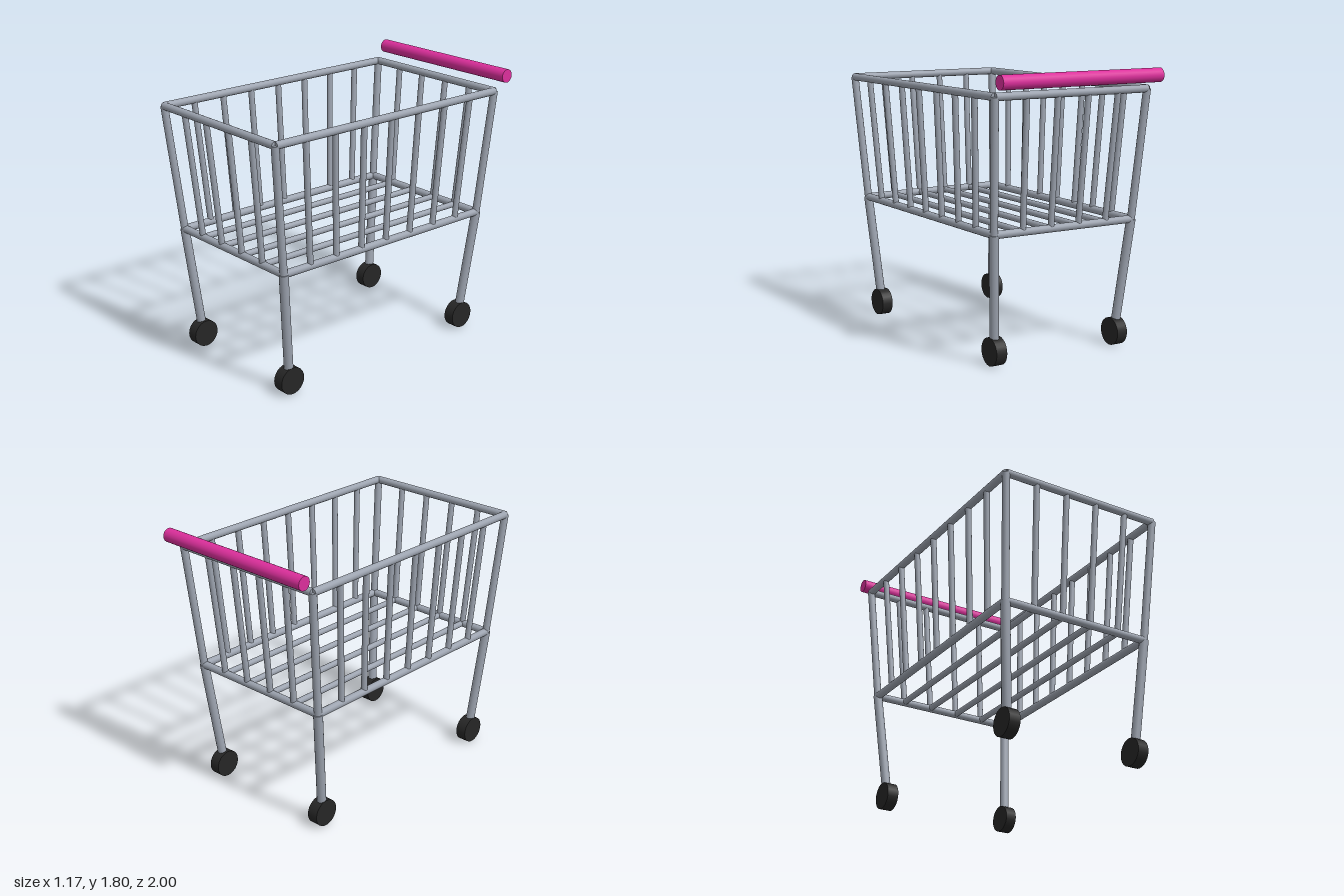
import * as THREE from 'three';

export function createModel() {
  const cart = new THREE.Group();
  cart.name = 'shoppingCart';

  const material = (name, color) => {
    const m = new THREE.MeshStandardMaterial({ color });
    m.name = name;
    return m;
  };
  const steel = material('steel grey', 0x9ca3af);
  const rubber = material('wheel black', 0x262626);
  const pink = material('handle pink', 0xdb2f9b);

  // Straight round bar between two points
  const up = new THREE.Vector3(0, 1, 0);
  function bar(name, a, b, radius, mat = steel, sides = 16) {
    const dir = b.clone().sub(a);
    const mesh = new THREE.Mesh(new THREE.CylinderGeometry(radius, radius, dir.length(), sides), mat);
    mesh.name = name;
    mesh.position.copy(a).add(b).multiplyScalar(0.5);
    mesh.quaternion.setFromUnitVectors(up, dir.normalize());
    cart.add(mesh);
  }

  // Basket corners, in order round the frame
  const corners = (x, y, front, back) => [[x, front], [x, back], [-x, back], [-x, front]]
    .map(([cx, cz]) => new THREE.Vector3(cx, y, cz));
  const top = corners(0.56, 1.67, 0.972, -0.862);
  const bottom = corners(0.514, 0.835, 0.886, -0.78);
  const feet = corners(0.458, 0.09, 0.81, -0.693);

  for (let i = 0; i < 4; i++) {
    const j = (i + 1) % 4;
    bar('topRail', top[i], top[j], 0.025);
    bar('bottomRail', bottom[i], bottom[j], 0.025);
    bar('cornerPost', bottom[i], top[i], 0.025);
    bar('leg', feet[i], bottom[i], 0.03);

    // Upright wires: long sides have seven, ends have four
    const gaps = i % 2 === 0 ? 8 : 5;
    for (let k = 1; k < gaps; k++) {
      const t = k / gaps;
      bar('uprightWire', bottom[i].clone().lerp(bottom[j], t), top[i].clone().lerp(top[j], t), 0.02);
    }

    // Wheels turn about the x axis
    const half = new THREE.Vector3(0.0375, 0, 0);
    bar('wheel', feet[i].clone().sub(half), feet[i].clone().add(half), 0.09, rubber, 24);
  }

  // Floor wires run front to back
  for (let k = 1; k < 5; k++) {
    bar('floorWire', bottom[0].clone().lerp(bottom[3], k / 5), bottom[1].clone().lerp(bottom[2], k / 5), 0.02);
  }

  // Push handle
  bar('handle', new THREE.Vector3(-0.585, 1.76, -0.955), new THREE.Vector3(0.585, 1.76, -0.955), 0.045, pink, 24);

  return cart;
}
